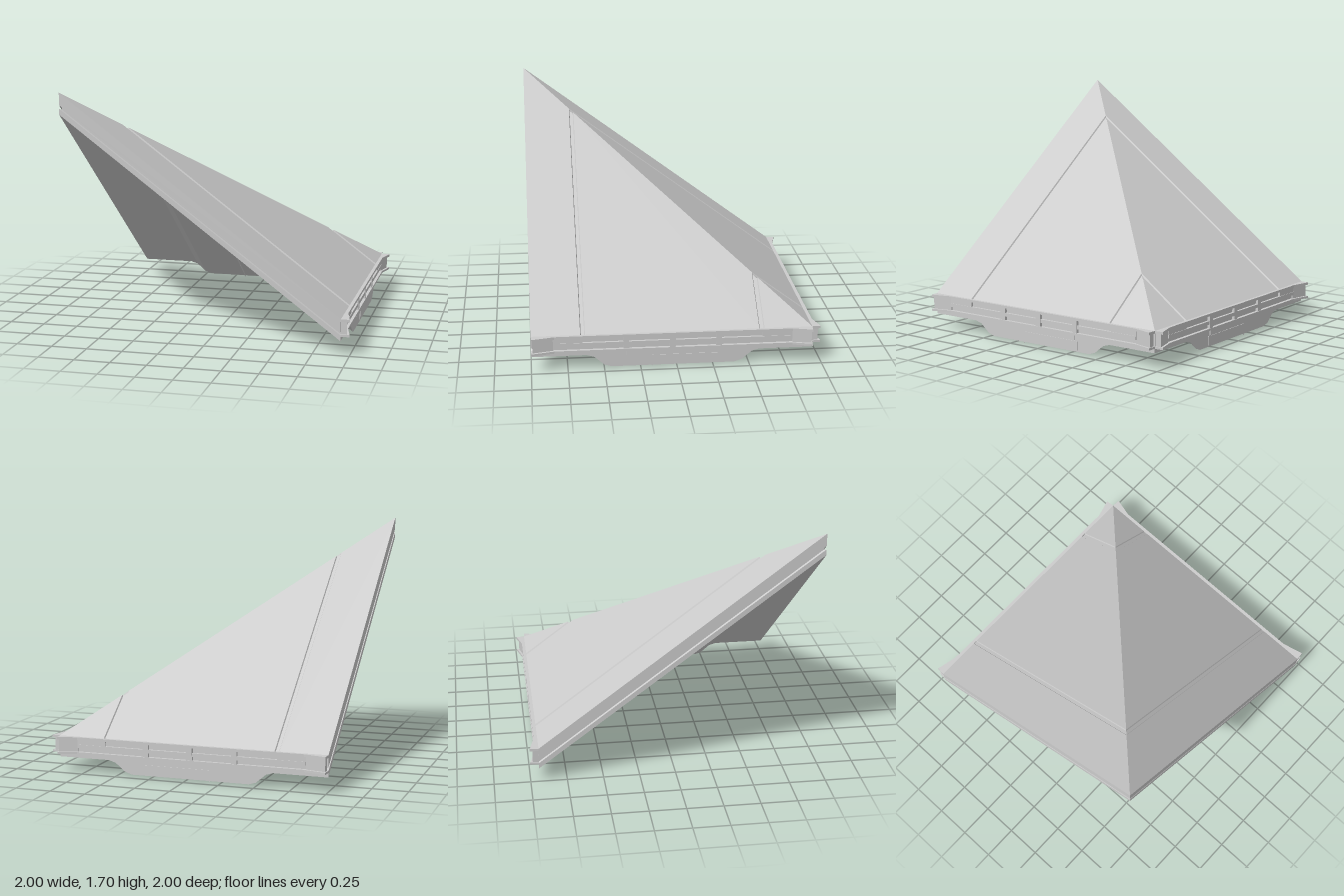
import * as THREE from 'three';

const EAVE = 0.94;           // distance from centre to each eave
const EAVE_Y = 0.25;         // height of the eave's upper edge
const PITCH = 1.45 / 1.94;   // rise per unit of run

const material = new THREE.MeshStandardMaterial({ color: 0xcccccc, flatShading: true });

// Roof slab section along the eave: [position, height below the roof plane], counter-clockwise
const SECTION = [
  // underside with its lowered middle and a thin seam rib
  [-1, -0.15], [-0.62, -0.15], [-0.57, -0.165], [-0.5, -0.225], [-0.45, -0.24],
  [-0.175, -0.24], [-0.17, -0.25], [-0.165, -0.24],
  [0.4, -0.24], [0.45, -0.222], [0.52, -0.165], [0.57, -0.15], [0.94, -0.15],
  // top surface with two grooves
  [0.94, 0], [0.607, 0], [0.602, -0.012], [0.575, -0.012], [0.57, 0],
  [-0.63, 0], [-0.635, -0.012], [-0.658, -0.012], [-0.663, 0], [-1, 0],
  // channel in the cut side
  [-1, -0.085], [-0.985, -0.09], [-0.985, -0.105], [-1, -0.11],
];

// Slab running up from the back eave, mitred along the hip where z = -x
function slopeGeometry() {
  const eave = SECTION.map(([t, d]) => [t, EAVE_Y + d, -EAVE]);
  const hip = SECTION.map(([t, d]) => [t, EAVE_Y + d + (EAVE - t) * PITCH, -t]);
  const pos = [];
  const tri = (a, b, c) => pos.push(...a, ...b, ...c);
  SECTION.forEach((_, i) => {
    const j = (i + 1) % SECTION.length;
    tri(eave[i], eave[j], hip[j]);
    tri(eave[i], hip[j], hip[i]);
  });
  const outline = SECTION.map(([t, d]) => new THREE.Vector2(t, d));
  for (const [a, b, c] of THREE.ShapeUtils.triangulateShape(outline, [])) {
    tri(eave[c], eave[b], eave[a]);
  }
  const geo = new THREE.BufferGeometry();
  geo.setAttribute('position', new THREE.Float32BufferAttribute(pos, 3));
  geo.computeVertexNormals();
  return geo;
}

// Plan outline [along, outward] on the back eave, raised from y0 to y1
function planBar(points, y0, y1) {
  const shape = new THREE.Shape(points.map(([t, o]) => new THREE.Vector2(t, o)));
  return new THREE.ExtrudeGeometry(shape, { depth: y1 - y0, bevelEnabled: false })
    .rotateX(-Math.PI / 2).translate(0, y0, -EAVE);
}

const straightBar = (t0, t1, out, y0, y1) =>
  planBar([[t0, -0.005], [t1, -0.005], [t1, out], [t0, out]], y0, y1);

// Mirror across the hip: (x, y, z) -> (-z, y, -x), restoring the winding
function mirrorAcrossHip(source) {
  const p = source.getAttribute('position');
  const pos = [];
  for (let i = 0; i < p.count; i += 3) {
    for (const k of [i, i + 2, i + 1]) pos.push(-p.getZ(k), p.getY(k), -p.getX(k));
  }
  const geo = new THREE.BufferGeometry();
  geo.setAttribute('position', new THREE.Float32BufferAttribute(pos, 3));
  geo.computeVertexNormals();
  return geo;
}

export function createModel() {
  const model = new THREE.Group();
  model.name = 'hipRoofCorner';
  const parts = [['roofSlope', slopeGeometry()]];
  const add = (name, geo) => parts.push([name, geo]);

  // Upper and lower eave rails, flaring out at both ends
  const flare = [[-1, 0], [0.94, 0], [0.935, 0.06], [0.8, 0.024], [-0.84, 0.024], [-0.995, 0.06]];
  add('upperEaveRail', planBar(flare, 0.232, 0.25));
  add('lowerEaveRail', planBar(flare, 0.13, 0.145));

  // Tapered blocks between the rail ends
  add('eaveEndBlock', planBar([[-0.99, 0], [-0.85, 0], [-0.85, 0.01], [-0.99, 0.042]], 0.145, 0.232));
  add('eaveEndBlock', planBar([[0.8, 0], [0.93, 0], [0.93, 0.042], [0.8, 0.01]], 0.145, 0.232));

  // Middle rail, slot fillers and posts
  add('middleEaveRail', straightBar(-0.85, 0.8, 0.018, 0.172, 0.197));
  add('slotFiller', straightBar(-0.85, -0.65, 0.014, 0.197, 0.232));
  add('slotFiller', straightBar(0.59, 0.8, 0.014, 0.197, 0.232));
  for (const t of [-0.35, -0.03, 0.29]) {
    add('eavePost', straightBar(t - 0.02, t + 0.02, 0.02, 0.145, 0.232));
  }

  // Raised panels on the lowered part of the eave face
  add('valancePanel', straightBar(-0.35, 0.28, 0.008, 0.09, 0.13));
  add('valanceStep', straightBar(-0.17, 0.3, 0.004, 0.02, 0.085));

  // Each part sits on the back eave and is repeated on the side eave
  const back = new THREE.Group();
  const side = new THREE.Group();
  back.name = 'backRoofHalf';
  side.name = 'sideRoofHalf';
  for (const [name, geo] of parts) {
    for (const [half, g] of [[back, geo], [side, mirrorAcrossHip(geo)]]) {
      const mesh = new THREE.Mesh(g, material);
      mesh.name = name;
      half.add(mesh);
    }
  }
  model.add(back, side);
  return model;
}
